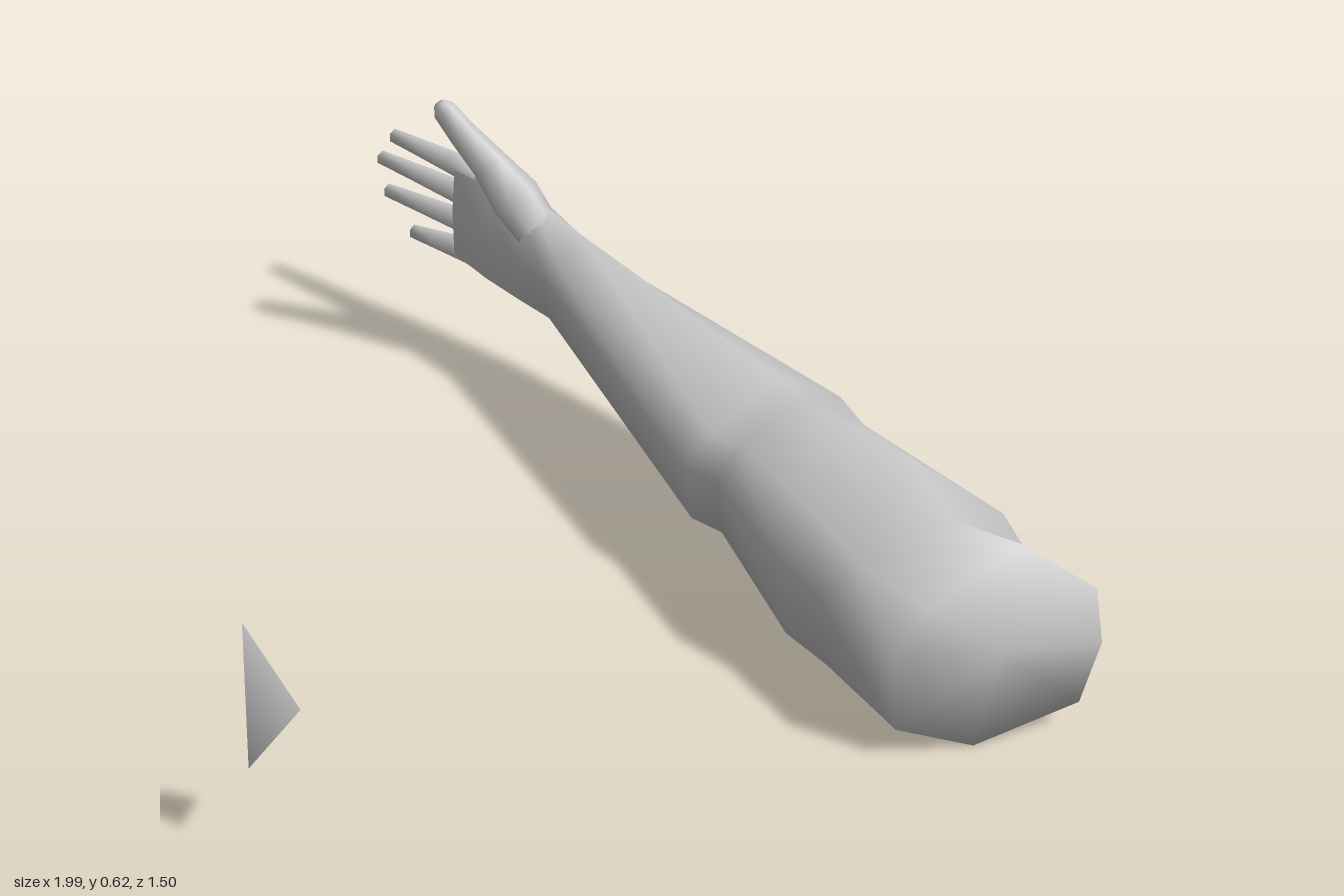
import * as THREE from 'three';

const skin = new THREE.MeshStandardMaterial({ color: 0xcccccc });
skin.name = 'pale grey';

// Smooth closed skin from indexed points
function smoothMesh(name, points, index) {
  const geo = new THREE.BufferGeometry().setFromPoints(points);
  geo.setIndex(index);
  geo.computeVertexNormals();
  const mesh = new THREE.Mesh(geo, skin);
  mesh.name = name;
  return mesh;
}

// Joins rings of equal point count and closes both ends
function loft(name, rings) {
  const n = rings[0].length, last = (rings.length - 1) * n;
  const points = rings.flat(), index = [];
  const middle = (ring) => ring.reduce((s, p) => s.add(p), new THREE.Vector3()).divideScalar(n);
  const startCap = points.push(middle(rings[0])) - 1;
  const endCap = points.push(middle(rings[rings.length - 1])) - 1;
  for (let i = 0; i < n; i++) {
    const j = (i + 1) % n;
    for (let a = 0; a < last; a += n) {
      const b = a + n;
      index.push(a + i, a + j, b + j, a + i, b + j, b + i);
    }
    index.push(startCap, j, i, endCap, last + i, last + j);
  }
  return smoothMesh(name, points, index);
}

// Tapered finger along a path of [x, y, z, radius]
function digit(name, path, sides = 6) {
  const centres = path.map(([x, y, z]) => new THREE.Vector3(x, y, z));
  const rings = centres.map((c, k) => {
    const d = centres[Math.min(k + 1, centres.length - 1)].clone()
      .sub(centres[Math.max(k - 1, 0)]).normalize();
    const u = new THREE.Vector3().crossVectors(d, new THREE.Vector3(0, 0, 1)).normalize();
    const v = new THREE.Vector3().crossVectors(d, u);
    return Array.from({ length: sides }, (_, i) => {
      const a = (i / sides) * Math.PI * 2;
      return c.clone().addScaledVector(u, Math.cos(a) * path[k][3])
        .addScaledVector(v, Math.sin(a) * path[k][3]);
    });
  });
  return loft(name, rings);
}

// Cross-sections as [toward front, up], each from -1 to 1
const armProfile = [[1, 0.1], [0.71, 0.52], [-0.1, 1], [-0.88, 0.42],
  [-1, -0.15], [-0.85, -0.74], [0.14, -1], [0.9, -0.68]];
const palmProfile = [[1, 0], [0.8, 0.8], [0, 1], [-0.8, 0.8],
  [-1, 0], [-0.8, -0.8], [0, -1], [0.8, -0.8]];

// Slanted ring between a front edge and a back edge, seen from above
function armRing([frontX, frontZ, backX, backZ, bottom, top], profile) {
  return profile.map(([u, v]) => new THREE.Vector3(
    THREE.MathUtils.lerp(backX, frontX, (u + 1) / 2),
    THREE.MathUtils.lerp(bottom, top, (v + 1) / 2),
    THREE.MathUtils.lerp(backZ, frontZ, (u + 1) / 2)));
}

export function createModel() {
  const model = new THREE.Group();
  model.name = 'armAndShard';

  // Upper arm, elbow, forearm and wrist, then the flat palm
  const arm = [
    [0.82, -0.2, 0.99, -0.55, 0.005, 0.4],
    [0.62, -0.25, 0.88, -0.54, 0.025, 0.37],
    [0.52, -0.255, 0.76, -0.595, 0.03, 0.42],
    [0.28, -0.355, 0.38, -0.66, 0.1, 0.385],
    [0.2, -0.36, 0.27, -0.725, 0.09, 0.375],
    [-0.43, -0.62, -0.4, -0.75, 0.185, 0.39],
  ].map((r) => armRing(r, armProfile));
  const palm = [
    [-0.55, -0.645, -0.55, -0.742, 0.182, 0.42],
    [-0.66, -0.658, -0.66, -0.735, 0.185, 0.435],
    [-0.76, -0.668, -0.76, -0.722, 0.202, 0.44],
  ].map((r) => armRing(r, palmProfile));
  model.add(loft('armAndPalm', [...arm, ...palm]));

  // Four fingers: base height, tip height, tip x
  const fingers = [
    ['indexFinger', 0.412, 0.423, -0.96],
    ['middleFinger', 0.354, 0.36, -1],
    ['ringFinger', 0.296, 0.29, -0.98],
    ['littleFinger', 0.232, 0.222, -0.9],
  ];
  for (const [name, baseY, tipY, tipX] of fingers) {
    model.add(digit(name, [
      [-0.7, baseY, -0.697, 0.029],
      [-0.78, THREE.MathUtils.lerp(baseY, tipY, 0.35), -0.696, 0.026],
      [(tipX - 0.78) / 2, THREE.MathUtils.lerp(baseY, tipY, 0.7), -0.692, 0.021],
      [tipX, tipY, -0.687, 0.016],
    ]));
  }

  // Thumb, broad at its root
  model.add(digit('thumb', [
    [-0.51, 0.34, -0.692, 0.045],
    [-0.575, 0.42, -0.67, 0.052],
    [-0.62, 0.49, -0.638, 0.037],
    [-0.66, 0.55, -0.605, 0.029],
    [-0.688, 0.6, -0.58, 0.024],
    [-0.694, 0.614, -0.573, 0.013],
  ]));

  // Small floating shard with four corners
  model.add(smoothMesh('shard', [
    new THREE.Vector3(0.31, 0.465, 0.748),
    new THREE.Vector3(0.31, 0.19, 0.748),
    new THREE.Vector3(0.277, 0.29, 0.715),
    new THREE.Vector3(0.348, 0.285, 0.67),
  ], [0, 1, 3, 0, 2, 1, 0, 3, 2, 1, 2, 3]));

  return model;
}
